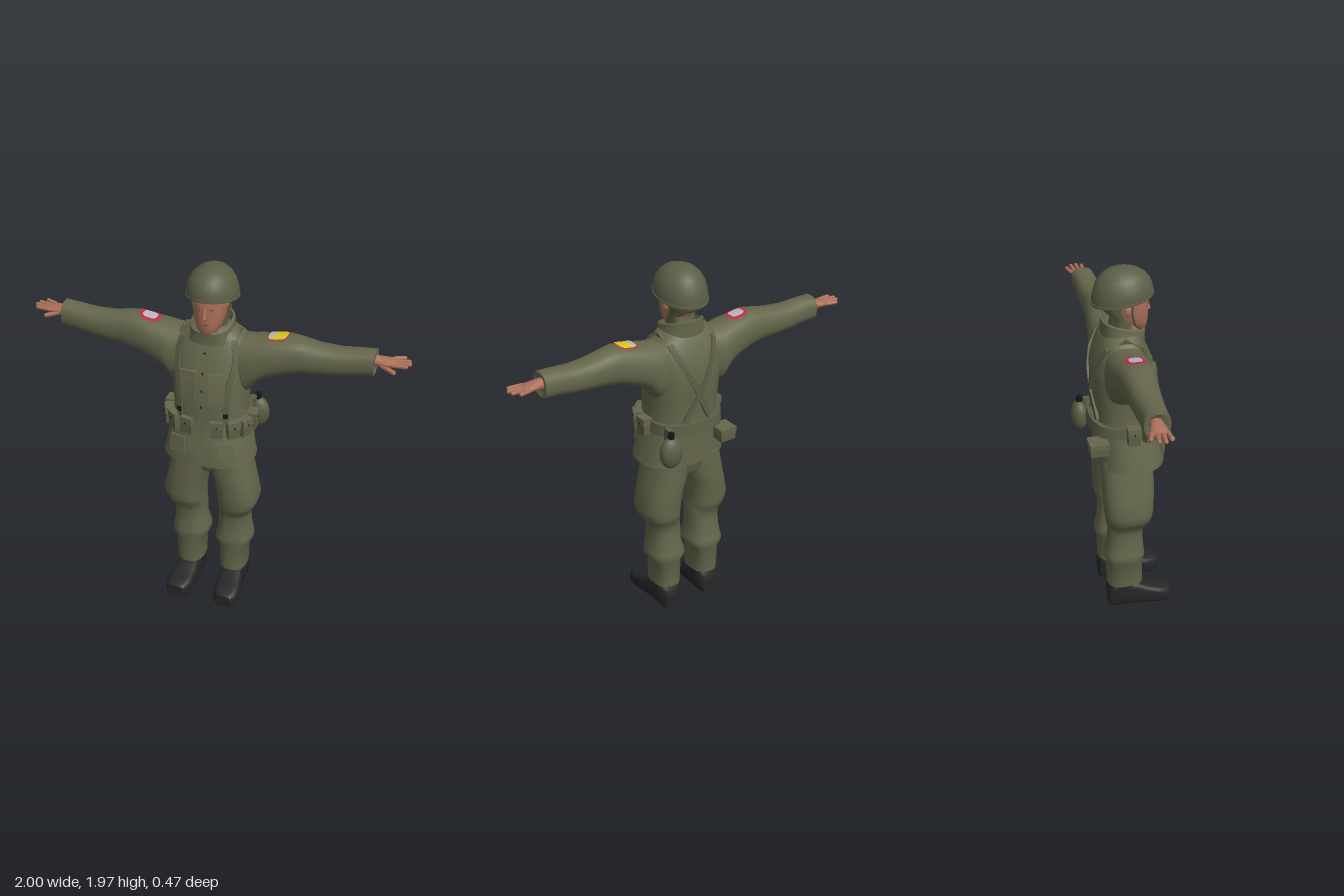
import * as THREE from 'three';
import { toCreasedNormals } from 'three/addons/utils/BufferGeometryUtils.js';

const E = 0.8; // roundness of the cross-sections
const V = (x, y, z) => new THREE.Vector3(x, y, z);
const mat = (name, color) => new THREE.MeshStandardMaterial({ name, color });

// Closed skin over a list of rings of points
function skin(rings, flip = false, crease = 0.9) {
  const n = rings[0].length, pos = [], idx = [];
  const tri = (a, b, c) => (flip ? idx.push(a, c, b) : idx.push(a, b, c));
  rings.forEach(r => r.forEach(p => pos.push(p.x, p.y, p.z)));
  for (let j = 0; j < rings.length - 1; j++)
    for (let i = 0; i < n; i++) {
      const a = j * n + i, b = j * n + (i + 1) % n;
      tri(a, a + n, b);
      tri(b, a + n, b + n);
    }
  [0, rings.length - 1].forEach((j, end) => {
    const c = rings[j].reduce((s, p) => s.add(p), V(0, 0, 0)).divideScalar(n);
    const k = pos.length / 3;
    pos.push(c.x, c.y, c.z);
    for (let i = 0; i < n; i++) {
      const a = j * n + i, b = j * n + (i + 1) % n;
      end ? tri(k, b, a) : tri(k, a, b);
    }
  });
  const g = new THREE.BufferGeometry();
  g.setAttribute('position', new THREE.Float32BufferAttribute(pos, 3));
  g.setIndex(idx);
  return toCreasedNormals(g, crease);
}

// Sections [t, u, v, ru, rv] along axis y (u=x, v=z), x (u=y, v=z) or z (u=x, v=y)
const spow = (c, e) => Math.sign(c) * Math.abs(c) ** e;
function loft(sections, axis = 'y', e = E, n = 24) {
  const rings = sections.map(([t, u, v, ru, rv]) => Array.from({ length: n }, (_, i) => {
    const a = i / n * Math.PI * 2;
    const p = u + ru * spow(Math.cos(a), e), q = v + rv * spow(Math.sin(a), e);
    return axis === 'y' ? V(p, t, q) : axis === 'x' ? V(t, p, q) : V(p, q, t);
  }));
  return skin(rings, axis !== 'y');
}
function sectionAt(table, t) {
  let i = 0;
  while (i < table.length - 2 && table[i + 1][0] < t) i++;
  const k = (t - table[i][0]) / (table[i + 1][0] - table[i][0]);
  return table[i].map((v, m) => v + (table[i + 1][m] - v) * k);
}
const dome = p => Math.max(0, 1 - Math.min(1, Math.abs(p)) ** (2 / E)) ** (E / 2);

function mirrored(geo) {
  const g = geo.index ? geo.toNonIndexed() : geo.clone();
  g.scale(-1, 1, 1);
  for (const key of ['position', 'normal']) {
    const a = g.attributes[key];
    for (let i = 0; i < a.count; i += 3) {
      const b = V().fromBufferAttribute(a, i + 1), c = V().fromBufferAttribute(a, i + 2);
      a.setXYZ(i + 1, c.x, c.y, c.z);
      a.setXYZ(i + 2, b.x, b.y, b.z);
    }
  }
  return g;
}
function capsule(a, b, r) {
  const d = b.clone().sub(a), L = d.length();
  return new THREE.CapsuleGeometry(r, L - 2 * r, 4, 10)
    .applyQuaternion(new THREE.Quaternion().setFromUnitVectors(V(0, 1, 0), d.divideScalar(L)))
    .translate((a.x + b.x) / 2, (a.y + b.y) / 2, (a.z + b.z) / 2);
}
function shear(g, k) { // tilt the height along z
  const p = g.attributes.position;
  for (let i = 0; i < p.count; i++) p.setY(i, p.getY(i) + k(p.getY(i)) * p.getZ(i));
  return toCreasedNormals(g, 0.9);
}

const TORSO = [[.915, 0, .03, .245, .18], [.95, 0, .03, .236, .18], [1.05, 0, .02, .218, .175],
  [1.12, 0, .008, .2, .167], [1.2, 0, .012, .192, .162], [1.3, 0, .006, .195, .171],
  [1.4, 0, -.005, .2, .165], [1.48, 0, -.012, .2, .152], [1.55, 0, -.015, .194, .127],
  [1.6, 0, -.015, .172, .105], [1.635, 0, -.01, .125, .09], [1.655, 0, 0, .085, .07]];
const ARM = [[.08, 1.46, -.015, .15, .1], [.2, 1.458, -.017, .148, .118], [.25, 1.495, -.016, .12, .112],
  [.3, 1.513, -.015, .108, .104], [.4, 1.54, -.015, .1, .093], [.47, 1.542, -.018, .088, .082],
  [.55, 1.538, -.02, .077, .076], [.65, 1.54, -.025, .07, .07], [.75, 1.552, -.03, .067, .064],
  [.825, 1.557, -.034, .067, .063], [.828, 1.557, -.034, .055, .05], [.82, 1.557, -.034, .045, .04]];
const LEG = [[.145, .125, -.0175, .075, .0975], [.3, .125, -.02, .08, .1], [.335, .125, -.022, .105, .112],
  [.36, .124, -.02, .101, .108], [.42, .128, -.017, .088, .098], [.5, .125, -.015, .085, .095],
  [.55, .133, -.008, .09, .102], [.56, .139, -.004, .095, .118], [.6, .15, -.002, .106, .127],
  [.64, .152, -.001, .112, .131], [.75, .133, 0, .106, .138], [.82, .112, 0, .112, .14], [.94, .095, 0, .105, .14]];

// Flat webbing on the torso: points [x, y, side], side 1 front, -1 back, 0 over the shoulder
function webbing(points, width, thick = 0.009) {
  const at = points.map(([x, y, s]) => {
    const [, , cz, rx, rz] = sectionAt(TORSO, y);
    return { p: V(x, y, s ? cz + s * (rz * dome(x / rx) + .002) : -.01),
      n: s ? V(x / rx * .6, y > 1.56 ? .6 : 0, s).normalize() : V(0, 1, 0) };
  });
  return skin(at.map(({ p, n }, i) => {
    const t = at[Math.min(i + 1, at.length - 1)].p.clone().sub(at[Math.max(i - 1, 0)].p);
    const w = t.cross(n).normalize().multiplyScalar(width / 2), h = n.clone().multiplyScalar(thick);
    return [[-1, -1], [-1, 1], [1, 1], [1, -1]].map(([a, b]) => p.clone().addScaledVector(w, a).addScaledVector(h, b));
  }), true, 0.5);
}
// Rounded badge lying on top of the sleeve
function badge(cx, hx, hz, lift) {
  const g = new THREE.RingGeometry(0.001, 1, 28, 5), p = g.attributes.position;
  for (let i = 0; i < p.count; i++) {
    const r = Math.hypot(p.getX(i), p.getY(i)), a = Math.atan2(p.getY(i), p.getX(i));
    const x = cx + hx * r * spow(Math.cos(a), .6), z = -.015 - hz * r * spow(Math.sin(a), .6);
    const [, cy, cz, ry, rz] = sectionAt(ARM, x);
    p.setXYZ(i, x, cy + ry * dome((z - cz) / rz) + lift, z);
  }
  g.computeVertexNormals();
  return g;
}

export function createModel() {
  const root = new THREE.Group();
  const cloth = mat('olive cloth', 0x65664b), web = mat('webbing', 0x5c5e45), shell = mat('helmet green', 0x5b5e46);
  const skinTone = mat('skin', 0xab6f58), leather = mat('boot black', 0x262627), black = mat('black metal', 0x161616);
  const red = mat('badge red', 0xc42a3e), yellow = mat('badge yellow', 0xdcc81e), grey = mat('badge grey', 0xbab4c4);
  const lip = mat('lips', 0x84493f);
  const add = (name, g, m) => {
    const o = new THREE.Mesh(g, m);
    o.name = name;
    root.add(o);
  };
  const pair = (name, g, m) => { add('left ' + name, g, m); add('right ' + name, mirrored(g), m); };
  const box = (w, h, d, x, y, z) => new THREE.BoxGeometry(w, h, d).translate(x, y, z);

  // Clothing
  add('jacket', loft(TORSO, 'y', E, 36), cloth);
  pair('sleeve', loft(ARM, 'x'), cloth);
  pair('trouser leg', loft(LEG), cloth);
  add('trouser seat', loft([[.79, 0, 0, .03, .06], [.81, 0, 0, .06, .1], [.86, 0, 0, .1, .13], [.94, 0, 0, .14, .138]]), cloth);
  add('collar', shear(loft([[1.58, 0, 0, .13, .11], [1.64, 0, 0, .112, .11], [1.672, 0, 0, .107, .112],
    [1.677, 0, 0, .096, .1], [1.63, 0, 0, .083, .09]]), y => (y > 1.6 ? -.26 : 0)), cloth);
  add('front placket', webbing([1.6, 1.5, 1.4, 1.3, 1.2, 1.1, 1, .93].map(y => [0, y, 1]), .035, .006), cloth);
  pair('chest pocket', webbing([[.075, 1.43, 1], [.075, 1.36, 1], [.075, 1.29, 1]], .085, .007), cloth);
  pair('chest pocket flap', webbing([[.075, 1.445, 1], [.075, 1.4, 1]], .09, .011), cloth);
  pair('skirt pocket', webbing([[.13, 1.06, 1], [.13, .97, 1]], .09, .007), cloth);
  for (const y of [1.54, 1.44, 1.35, 1.26]) {
    const [, , cz, , rz] = sectionAt(TORSO, y);
    add('snap', new THREE.SphereGeometry(.006, 8, 6).translate(0, y, cz + rz + .008), black);
  }

  // Boots
  pair('boot foot', loft([[-.112, .128, .06, .045, .055], [-.09, .128, .073, .062, .073], [-.02, .128, .077, .063, .077],
    [.05, .13, .07, .064, .07], [.1, .132, .058, .068, .058], [.16, .137, .05, .071, .05],
    [.21, .14, .045, .064, .045], [.235, .14, .042, .045, .036]], 'z', .5), leather);
  pair('boot shaft', loft([[.03, .128, -.03, .06, .075], [.18, .125, -.02, .066, .08]]), leather);

  // Hands
  pair('palm', loft([[.77, 1.565, -.038, .035, .035], [.835, 1.565, -.04, .028, .032], [.87, 1.566, -.042, .021, .041],
    [.91, 1.567, -.044, .015, .044], [.922, 1.567, -.045, .01, .04]], 'x', 1, 16), skinTone);
  for (const [z0, z1, x] of [[-.08, -.102, .965], [-.056, -.07, .993], [-.032, -.04, 1], [-.008, -.01, .985]])
    pair('finger', capsule(V(.895, 1.567, z0), V(x, 1.572, z1), .0105), skinTone);
  pair('thumb', capsule(V(.845, 1.558, -.02), V(.932, 1.537, .012), .0125), skinTone);

  // Head
  add('head', loft([[1.642, 0, .08, .036, .036], [1.658, 0, .062, .054, .062], [1.69, 0, .04, .069, .088],
    [1.73, 0, .027, .079, .102], [1.78, 0, .019, .085, .109], [1.82, 0, .015, .088, .112], [1.87, 0, .01, .08, .1]], 'y', .9), skinTone);
  add('neck', loft([[1.58, 0, .01, .07, .075], [1.7, 0, .015, .064, .065]]), skinTone);
  add('nose', loft([[1.726, 0, .124, .009, .006], [1.736, 0, .128, .014, .017], [1.76, 0, .126, .009, .013],
    [1.795, 0, .122, .007, .008]], 'y', 1, 10), skinTone);
  add('mouth', box(.042, .006, .006, 0, 1.7, .127), lip);
  pair('eye', box(.022, .006, .008, .033, 1.783, .1205), lip);
  pair('ear', new THREE.SphereGeometry(1, 10, 8).scale(.012, .03, .02).translate(.087, 1.765, .01), skinTone);
  add('nape cover', loft([[1.64, 0, -.005, .072, .07], [1.715, 0, -.005, .073, .052], [1.755, 0, -.04, .08, .064],
    [1.82, 0, -.04, .088, .075]]), web);

  // Helmet, lower at the back
  const tilt = y => .16 * Math.min(1, (1.975 - y) / .16);
  add('helmet', shear(loft([[1.825, 0, 0, .12, .145], [1.812, 0, 0, .13, .156], [1.83, 0, 0, .13, .155],
    [1.86, 0, 0, .127, .15], [1.895, 0, 0, .116, .138], [1.925, 0, 0, .098, .118], [1.95, 0, 0, .07, .086],
    [1.965, 0, 0, .038, .046], [1.97, 0, 0, .01, .012]], 'y', 1, 32), tilt), shell);
  add('helmet rim', shear(loft([[1.81, 0, 0, .126, .152], [1.808, 0, 0, .133, .159], [1.818, 0, 0, .133, .159],
    [1.82, 0, 0, .127, .152]], 'y', 1, 32), tilt), web);
  const chin = new THREE.CatmullRomCurve3([V(.105, 1.83, .03), V(.092, 1.75, .03), V(.064, 1.675, .055), V(0, 1.64, .085)]);
  pair('chin strap', new THREE.TubeGeometry(chin, 16, .006, 6), web);

  // Belt kit
  add('belt', loft([[1.105, 0, -.008, .207, .178], [1.168, 0, -.006, .204, .174]], 'y', E, 36), web);
  add('belt buckle', box(.025, .036, .012, 0, 1.14, .17), black);
  for (const a of [.27, .7, 1.12, 1.58]) {
    const place = g => g.rotateY(a).translate(.212 * Math.sin(a) ** E, 1.135, .012 + .15 * spow(Math.cos(a), E));
    pair('belt pouch', place(box(.064, .092, .045, 0, 0, .01)), web);
    pair('pouch flap', place(box(.069, .038, .052, 0, .029, .01)), cloth);
    pair('pouch snap', place(box(.008, .008, .004, 0, .018, .037)), black);
  }
  pair('suspender', webbing([[-.075, 1.17, -1], [-.035, 1.25, -1], [.005, 1.33, -1], [.05, 1.42, -1], [.095, 1.51, -1],
    [.125, 1.585, -1], [.13, 1.63, 0], [.135, 1.59, 1], [.15, 1.53, 1], [.148, 1.46, 1], [.132, 1.38, 1],
    [.122, 1.28, 1], [.12, 1.17, 1]], .03), web);
  pair('suspender buckle', webbing([[.121, 1.232, 1], [.12, 1.205, 1]], .026, .013), black);
  add('canteen', new THREE.SphereGeometry(1, 20, 14).scale(.064, .088, .046).translate(.19, 1.055, -.192), web);
  add('canteen cap', new THREE.CylinderGeometry(.016, .018, .035, 12).translate(.19, 1.15, -.192), black);
  add('canteen strap', box(.03, .07, .05, .172, 1.13, -.148), web);
  add('rear pouch', box(.092, .065, .1, -.16, 1.055, -.162), web);
  add('rear pouch flap', box(.098, .028, .1, -.16, 1.078, -.165), cloth);

  // Sleeve badges
  add('left badge border', badge(.338, .053, .048, .003), red);
  add('left badge field', badge(.339, .049, .044, .006), yellow);
  add('left badge panel', badge(.308, .015, .034, .009), grey);
  add('right badge border', mirrored(badge(.338, .053, .048, .003)), red);
  add('right badge field', mirrored(badge(.338, .037, .033, .006)), grey);
  return root;
}
